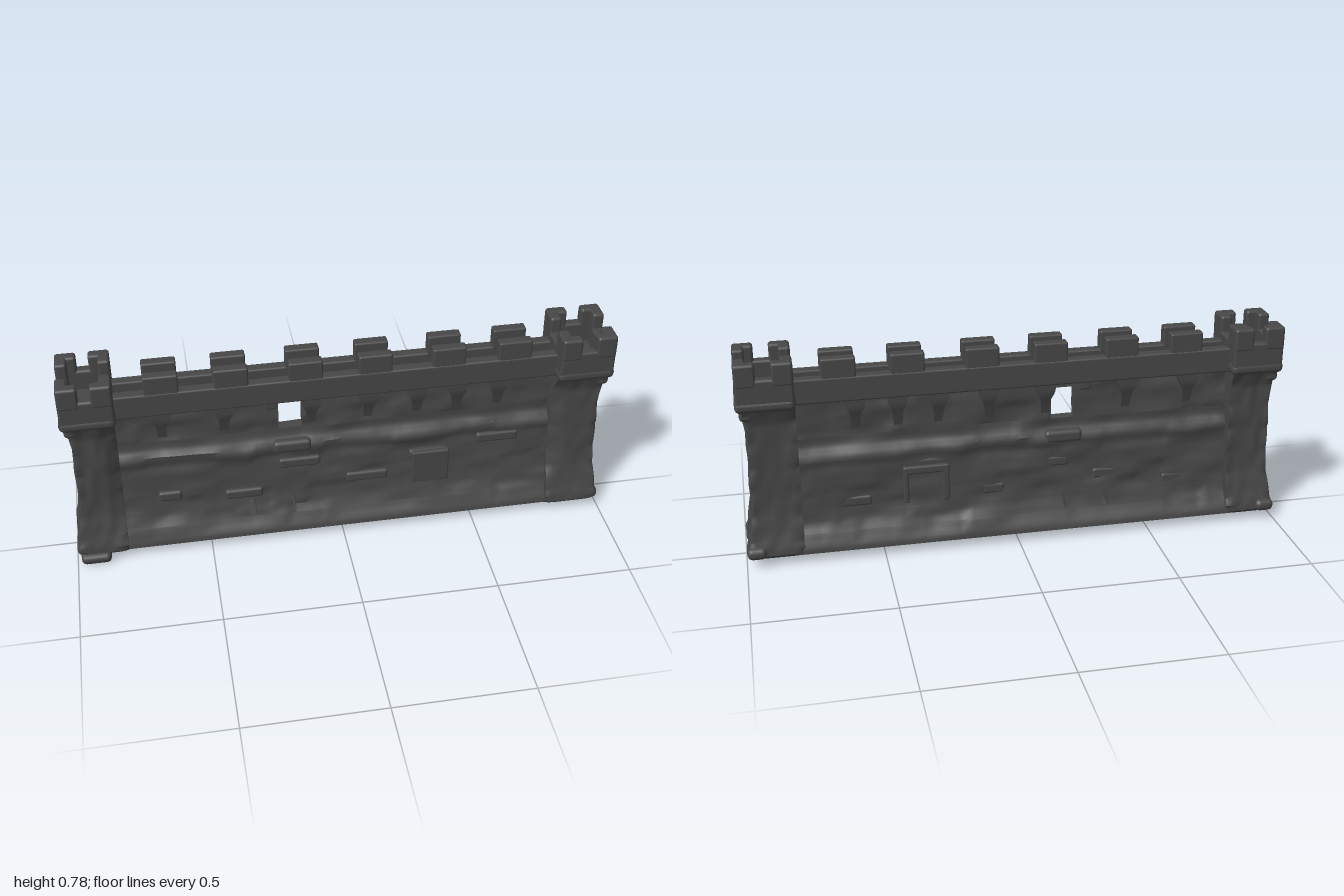
import * as THREE from 'three';
import { toCreasedNormals } from 'three/addons/utils/BufferGeometryUtils.js';
import { RoundedBoxGeometry } from 'three/addons/geometries/RoundedBoxGeometry.js';

const stone = new THREE.MeshStandardMaterial({ color: 0x474747 });
stone.name = 'dark stone';

const hash = (a, b, c = 0) => {
  const s = Math.sin(a * 127.1 + b * 311.7 + c * 74.7) * 43758.5453;
  return s - Math.floor(s);
};

// Smooth value noise in two directions
function noise(u, v, seed) {
  const i = Math.floor(u), j = Math.floor(v);
  const s = (t) => t * t * (3 - 2 * t);
  const a = s(u - i), b = s(v - j);
  const mix = THREE.MathUtils.lerp;
  return mix(mix(hash(i, j, seed), hash(i + 1, j, seed), a),
    mix(hash(i, j + 1, seed), hash(i + 1, j + 1, seed), a), b);
}

// Linear interpolation through [y, value] points
function along(points, y) {
  for (let i = 1; i < points.length; i++) {
    const [y0, a] = points[i - 1], [y1, b] = points[i];
    if (y <= y1) return a + (b - a) * THREE.MathUtils.clamp((y - y0) / (y1 - y0), 0, 1);
  }
  return points[points.length - 1][1];
}

function reshape(geo, rule) {
  const p = geo.attributes.position, v = new THREE.Vector3();
  for (let i = 0; i < p.count; i++) {
    v.fromBufferAttribute(p, i);
    rule(v);
    p.setXYZ(i, v.x, v.y, v.z);
  }
  return toCreasedNormals(geo, 0.75);
}

function add(parent, name, geo, x = 0, y = 0, z = 0) {
  const mesh = new THREE.Mesh(geo, stone);
  mesh.name = name;
  mesh.position.set(x, y, z);
  parent.add(mesh);
  return mesh;
}

// Softly worn block between two corners
function block(parent, name, x0, x1, y0, y1, z0, z1, r = 0.007) {
  const geo = new RoundedBoxGeometry(x1 - x0, y1 - y0, z1 - z0, 2, r);
  return add(parent, name, geo, (x0 + x1) / 2, (y0 + y1) / 2, (z0 + z1) / 2);
}

// Half thickness of the curtain wall by height: flared foot, ledge, thin top
const wallProfile = [[0.035, 0.116], [0.055, 0.114], [0.07, 0.102], [0.12, 0.074], [0.18, 0.058],
  [0.35, 0.045], [0.37, 0.053], [0.39, 0.05], [0.415, 0.025], [0.6, 0.018]];

// Rough stone courses on the wall face
function masonry(x, y, side) {
  const row = Math.floor(y / 0.065);
  const col = Math.floor(x / 0.13 + (row % 2) * 0.5);
  return (hash(row, col, side) - 0.5) * 0.008 + (noise(x * 9, y * 22, side + 3) - 0.5) * 0.013;
}

function wallPiece(parent, x0, x1, y0, y1) {
  const w = x1 - x0, h = y1 - y0;
  const geo = new THREE.BoxGeometry(w, h, 2, Math.ceil(w / 0.02), Math.ceil(h / 0.015), 1);
  geo.translate((x0 + x1) / 2, (y0 + y1) / 2, 0);
  add(parent, 'curtainWall', reshape(geo, (v) => {
    const fade = THREE.MathUtils.clamp((v.y - 0.04) / 0.05, 0, 1);
    v.z = v.z * (along(wallProfile, v.y) + fade * masonry(v.x, v.y, v.z)) - 0.005;
  }));
}

// Corbel with a broad head and a narrow stem, deepest at the top
function corbel(parent, x, s, seed) {
  const geo = new THREE.BoxGeometry(1, 0.125, 1, 3, 8, 2);
  const lean = (hash(seed, s) - 0.5) * 0.014;
  add(parent, 'corbel', reshape(geo, (v) => {
    const t = 0.5 - v.y / 0.125;
    const width = along([[0, 0.076], [0.3, 0.066], [0.5, 0.04], [1, 0.03]], t);
    const depth = along([[0, 0.062], [0.35, 0.06], [0.6, 0.048], [1, 0.034]], t);
    v.x = v.x * width + lean * t;
    v.z = s * (0.5 + s * v.z) * depth;
  }), x, 0.541, 0);
}

function buildWall() {
  const g = new THREE.Group();
  g.name = 'wall';
  // Lower wall around the two broken slits
  wallPiece(g, -0.83, 0.82, 0.035, 0.1);
  wallPiece(g, -0.83, -0.35, 0.1, 0.165);
  wallPiece(g, -0.325, -0.187, 0.1, 0.165);
  wallPiece(g, -0.175, 0.82, 0.1, 0.165);
  wallPiece(g, -0.83, 0.82, 0.165, 0.45);
  // Upper wall around the window
  wallPiece(g, -0.83, -0.225, 0.45, 0.57);
  wallPiece(g, -0.137, 0.82, 0.45, 0.57);
  wallPiece(g, -0.83, 0.82, 0.57, 0.61);
  block(g, 'windowSill', -0.25, -0.11, 0.362, 0.41, -0.062, 0.056, 0.015);

  // Wall walk between two parapets
  block(g, 'wallWalk', -0.82, 0.81, 0.595, 0.64, -0.05, 0.05);
  const corbels = [-0.65, -0.42, -0.11, 0.1, 0.28, 0.43, 0.58];
  for (const s of [-1, 1]) {
    const zs = (a, b) => (s > 0 ? [a, b] : [-b, -a]);
    block(g, 'parapet', -0.82, 0.81, 0.595, 0.688, ...zs(0.024, 0.066));
    for (const x of [-0.636, -0.392, -0.128, 0.122, 0.39, 0.633]) {
      block(g, 'merlon', x - 0.061, x + 0.061, 0.675, 0.757, ...zs(0.023, 0.064));
    }
    corbels.forEach((x, i) => corbel(g, x, s, i));
    block(g, 'smallCorbel', -0.28, -0.235, 0.565, 0.6, ...zs(0.01, 0.055));
    // A few stones standing slightly proud of the courses
    for (let i = 0; i < 6; i++) {
      const x = -0.66 + 0.24 * i + 0.06 * hash(i, 7, s), y = 0.17 + 0.18 * hash(i, 11, s);
      const w = 0.04 + 0.04 * hash(i, 13, s), out = along(wallProfile, y);
      block(g, 'proudStone', x - w, x + w, y - 0.02, y + 0.02, ...zs(out - 0.03, out + 0.006), 0.01);
    }
  }
  // Square panel at the front, lintel and jambs behind
  block(g, 'frontPanel', 0.268, 0.408, 0.168, 0.308, 0.02, 0.068, 0.006);
  block(g, 'backLintel', 0.25, 0.42, 0.29, 0.32, -0.068, -0.03);
  block(g, 'backJamb', 0.25, 0.275, 0.175, 0.3, -0.068, -0.03);
  block(g, 'backJamb', 0.4, 0.42, 0.175, 0.3, -0.068, -0.03);
  return g;
}

// Tower outlines by height: side faces and the outward face
const towerDepth = [[0.032, 0.116], [0.042, 0.126], [0.07, 0.123], [0.12, 0.107], [0.2, 0.092],
  [0.25, 0.088], [0.54, 0.086], [0.58, 0.098], [0.61, 0.11]];
const towerReach = [[0.032, 0.988], [0.045, 0.997], [0.08, 0.99], [0.2, 0.97], [0.5, 0.965],
  [0.58, 0.977], [0.61, 0.985]];
// Cut-back of the front corner that meets the wall
const innerCut = [[0.1, 0], [0.25, 0.3], [0.5, 0.3], [0.59, 0.1]];

function buildTower(s) {
  const g = new THREE.Group();
  g.name = s > 0 ? 'leftTower' : 'rightTower';
  const inner = s > 0 ? 0.79 : 0.808;
  const xs = (a, b) => (s > 0 ? [a, b] : [-b, -a]);

  // Flared shaft with rough corner stones
  const shaft = new THREE.BoxGeometry(2, 0.578, 2, 14, 48, 24);
  shaft.translate(0, 0.321, 0);
  add(g, 'towerShaft', reshape(shaft, (v) => {
    const out = v.x * s;
    const round = 1 - 0.07 * Math.pow(Math.abs(v.x * v.z), 8);
    const corner = Math.pow(Math.abs(v.x), 4);
    const rough = 0.011 * corner * Math.pow(Math.abs(Math.sin(v.y * 34)), 0.6)
      + 0.008 * (noise(v.x * 3 + 5, v.y * 14, s + 9) - 0.5);
    const reach = along(towerReach, v.y) + 0.008 * (noise(v.z * 2 + 5, v.y * 16, s) - 0.4);
    const cut = v.z > 0 ? along(innerCut, v.y) * THREE.MathUtils.clamp((-out - 0.4) / 0.6, 0, 1) : 0;
    // Small notch at the foot of the outward face
    const notch = out > 0.99 && Math.abs(v.z) < 0.17 && v.y < 0.07 ? 0.022 : 0;
    const mid = (inner + reach) / 2, half = (reach - inner) / 2;
    v.x = s * (mid + out * half * (out > 0 ? round : 1) - notch);
    v.z *= (along(towerDepth, v.y) + (v.y > 0.06 ? rough : 0)) * round * (1 - cut);
  }));

  // Head with a thick lower band, parapet and sunken floor
  const x0 = inner + (s > 0 ? 0 : -0.006), x1 = 0.992;
  block(g, 'headBand', ...xs(x0 - 0.004, 0.997), 0.596, 0.642, -0.121, 0.121, 0.02);
  block(g, 'headParapet', ...xs(x1 - 0.042, x1), 0.62, 0.718, -0.117, 0.117, 0.01);
  block(g, 'headParapet', ...xs(x0, x0 + 0.035), 0.62, 0.718, -0.117, 0.117, 0.01);
  for (const f of [-1, 1]) {
    const zs = (a, b) => (f > 0 ? [a, b] : [-b, -a]);
    block(g, 'headParapet', ...xs(x0, x1), 0.62, 0.718, ...zs(0.078, 0.118), 0.01);
    // L-shaped corner merlons
    for (const [a, b, face] of [[x0, x0 + 0.074, x0], [x1 - 0.074, x1, x1 - 0.042]]) {
      block(g, 'cornerMerlon', ...xs(a, b), 0.69, 0.776, ...zs(0.078, 0.12), 0.01);
      block(g, 'cornerMerlon', ...xs(face, face + 0.042), 0.69, 0.776, ...zs(0.037, 0.118), 0.01);
    }
    // Brackets below the head
    block(g, 'sideBracket', ...xs(0.94, 0.984), 0.56, 0.61, ...zs(0.055, 0.104), 0.015);
    // Base stones at the corners
    block(g, 'baseStone', ...xs(0.925, 0.997), 0.035, 0.08, ...zs(0.07, f < 0 ? 0.14 : 0.126), 0.02);
  }
  block(g, 'sideBracket', ...xs(0.94, 0.984), 0.565, 0.61, -0.016, 0.016, 0.01);
  return g;
}

export function createModel() {
  const model = new THREE.Group();
  model.name = 'castleWall';
  model.add(buildWall(), buildTower(1), buildTower(-1));
  // Loose footing stone under one front corner
  const footing = block(model, 'footingStone', -0.985, -0.875, 0.008, 0.05, 0.05, 0.142, 0.018);
  footing.rotation.x = 0.3;
  return model;
}
